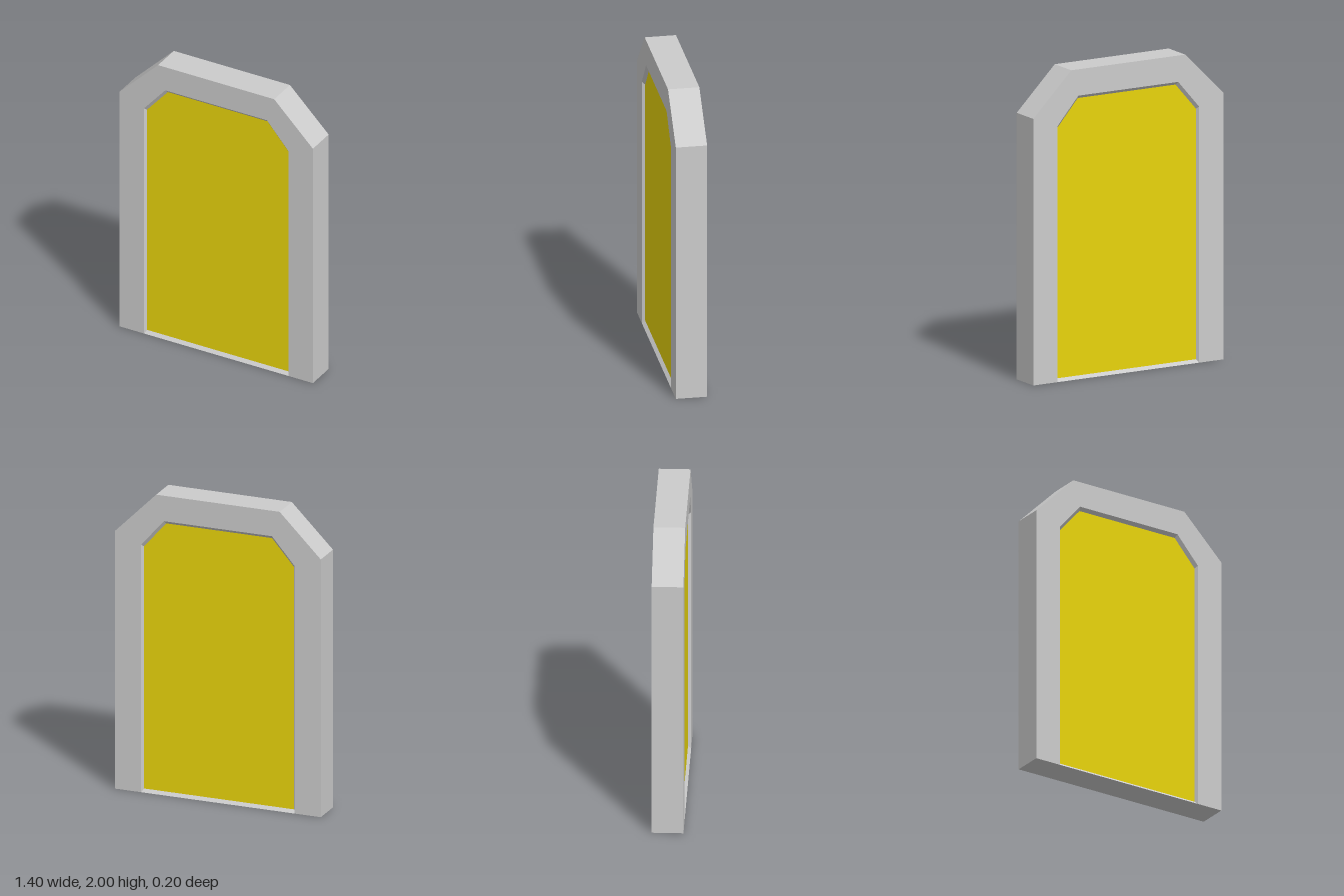
import * as THREE from 'three';

const HALF_DEPTH = 0.1;
const RECESS = 0.02;

// Door outline with cut top corners, counter-clockwise from the bottom left
const outline = (halfW, shoulder, halfTop, top, bottom = 0) => [
  [-halfW, bottom], [halfW, bottom], [halfW, shoulder],
  [halfTop, top], [-halfTop, top], [-halfW, shoulder],
].map(([x, y]) => new THREE.Vector2(x, y));

const outer = outline(0.7, 1.72, 0.42, 2);
const opening = outline(0.522, 1.652, 0.368, 1.83);
const inset = outline(0.511, 1.636, 0.36, 1.81, 0.02);

// Closed band of flat quads between two outlines at different depths
function band(a, za, b, zb) {
  const pos = [];
  a.forEach((p, i) => {
    const j = (i + 1) % a.length;
    const A = [p.x, p.y, za], B = [a[j].x, a[j].y, za];
    const C = [b[j].x, b[j].y, zb], D = [b[i].x, b[i].y, zb];
    pos.push(...A, ...B, ...C, ...A, ...C, ...D);
  });
  const geo = new THREE.BufferGeometry();
  geo.setAttribute('position', new THREE.Float32BufferAttribute(pos, 3));
  geo.computeVertexNormals();
  return geo;
}

export function createModel() {
  const grey = new THREE.MeshStandardMaterial({ color: 0xcccccc, flatShading: true });
  const yellow = new THREE.MeshStandardMaterial({ color: 0xe8d40c, flatShading: true });
  const model = new THREE.Group();
  model.name = 'door';

  const add = (parent, name, geo, mat, z = 0) => {
    const mesh = new THREE.Mesh(geo, mat);
    mesh.name = name;
    mesh.position.z = z;
    parent.add(mesh);
  };

  // Outer edge of the frame, including the underside
  add(model, 'frameEdge', band(outer, -HALF_DEPTH, outer, HALF_DEPTH), grey);

  // Arch-shaped frame face: up the outside, back down the opening
  const arch = new THREE.Shape([
    ...outer.slice(1), outer[0],
    opening[0], ...opening.slice(2).reverse(), opening[1],
  ]);
  const frameFace = new THREE.ShapeGeometry(arch);
  const bevel = band(opening, HALF_DEPTH, inset, HALF_DEPTH - RECESS);
  const panel = new THREE.ShapeGeometry(new THREE.Shape(inset));

  // Identical front and back sides
  ['front', 'back'].forEach((name, i) => {
    const side = new THREE.Group();
    side.name = name + 'Side';
    side.rotation.y = i * Math.PI;
    add(side, name + 'FrameFace', frameFace, grey, HALF_DEPTH);
    add(side, name + 'Bevel', bevel, grey);
    add(side, name + 'Panel', panel, yellow, HALF_DEPTH - RECESS);
    model.add(side);
  });

  return model;
}
